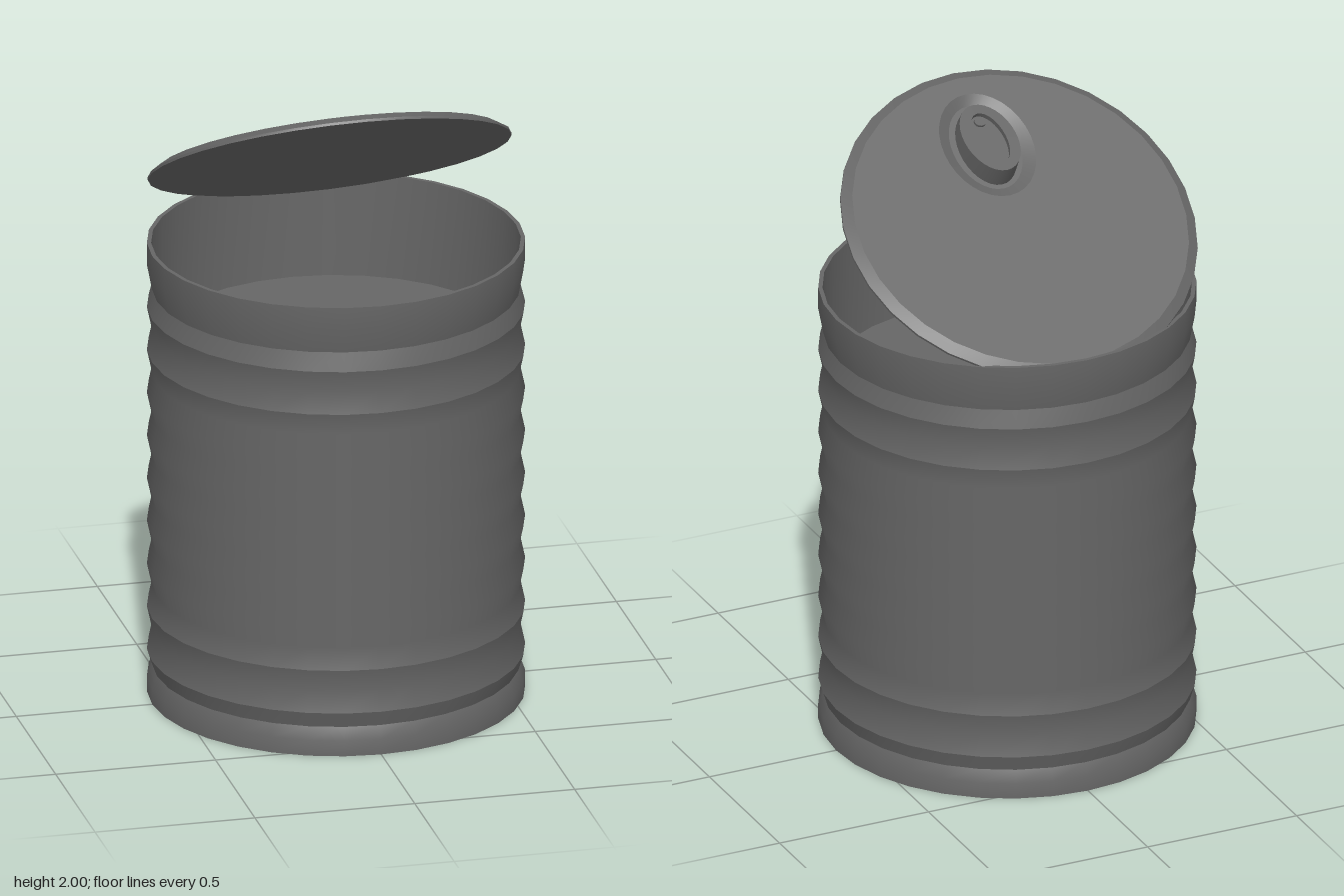
import * as THREE from 'three';
import { mergeGeometries } from 'three/addons/utils/BufferGeometryUtils.js';

const SIDES = 32;

// One smooth band through elliptical rings { rx, rz, z, back, front };
// back and front are the heights at the two ends of the ellipse.
function band(rings) {
  const pos = [], index = [];
  for (const { rx, rz, z, back, front } of rings) {
    for (let i = 0; i < SIDES; i++) {
      const a = (i / SIDES) * Math.PI * 2;
      const t = (1 + Math.cos(a)) / 2;
      pos.push(rx * Math.sin(a), back + (front - back) * t, z + rz * Math.cos(a));
    }
  }
  for (let r = 0; r < rings.length - 1; r++) {
    for (let i = 0; i < SIDES; i++) {
      const j = (i + 1) % SIDES, lo = r * SIDES, hi = lo + SIDES;
      index.push(lo + i, lo + j, hi + j, lo + i, hi + j, hi + i);
    }
  }
  const g = new THREE.BufferGeometry();
  g.setAttribute('position', new THREE.Float32BufferAttribute(pos, 3));
  g.setIndex(index);
  g.computeVertexNormals();
  return g;
}

const circle = (r, y) => ({ rx: r, rz: r, z: 0, back: y, front: y });
const oval = (rx, rz, z, back, front = back) => ({ rx, rz, z, back, front });

// Bands with a sharp edge at every ring
const creased = (rings) =>
  mergeGeometries(rings.slice(1).map((ring, i) => band([rings[i], ring])));

export function createModel() {
  const metal = new THREE.MeshStandardMaterial({ color: 0x666666 });
  const model = new THREE.Group();
  const add = (parent, name, geometry) => {
    const mesh = new THREE.Mesh(geometry, metal);
    mesh.name = name;
    parent.add(mesh);
    return mesh;
  };

  // Corrugated can body: wide ribs every 0.139, grooves between them
  const WIDE = 0.575, NARROW = 0.56, H = 1.46, PITCH = 0.139;
  const ribs = [];
  for (let k = 1; k <= 9; k++) {
    ribs.push(circle(WIDE, k * PITCH));
    if (k < 9) ribs.push(circle(NARROW, (k + 0.5) * PITCH));
  }
  const lowGroove = circle(NARROW, 0.09), highGroove = circle(NARROW, 1.31);
  add(model, 'canBody', mergeGeometries([
    band([circle(0, 0), circle(WIDE, 0)]),
    band([circle(WIDE, 0), circle(WIDE, 0.05), lowGroove]),
    band([lowGroove, ribs[0]]),
    band(ribs.slice(0, 3)),
    band(ribs.slice(2, 15)),
    band(ribs.slice(14)),
    band([ribs[16], highGroove]),
    band([highGroove, circle(WIDE, 1.39), circle(WIDE, H)]),
  ]));

  // Thin rim, inner wall and the surface inside
  add(model, 'rimAndInnerWall', creased([circle(WIDE, H), circle(0.562, H), circle(0.555, 1.13)]));
  add(model, 'innerSurface', creased([circle(0.555, 1.13), circle(0, 1.13)]));

  // Tilted lid, hinged at the back
  const lid = new THREE.Group();
  lid.name = 'openLid';
  lid.position.set(0, 1.698, -0.08);
  lid.rotation.x = -0.557;
  model.add(lid);

  // Lid disc with bevelled edge and an oval dish for the tab
  add(lid, 'lidDisc', creased([
    circle(0, 0), circle(0.557, 0), circle(0.557, 0.008), circle(0.525, 0.028),
    oval(0.145, 0.188, 0.277, 0.028),
    oval(0.108, 0.153, 0.281, 0.008),
    oval(0, 0, 0.281, 0.008),
  ]));

  // Wedge-shaped pull tab, raised towards the lid centre, with a shallow oval recess
  add(lid, 'pullTab', creased([
    oval(0.088, 0.136, 0.279, 0.008),
    oval(0.085, 0.133, 0.279, 0.084, 0.048),
    oval(0.05, 0.1, 0.277, 0.08, 0.053),
    oval(0.05, 0.1, 0.277, 0.063, 0.036),
    oval(0, 0, 0.277, 0.0495),
  ]));

  // Rivet at the front of the recess
  add(lid, 'rivet', creased([
    oval(0.018, 0.018, 0.352, 0.034), oval(0.018, 0.018, 0.352, 0.05, 0.046),
    oval(0, 0, 0.352, 0.048),
  ]));

  return model;
}
